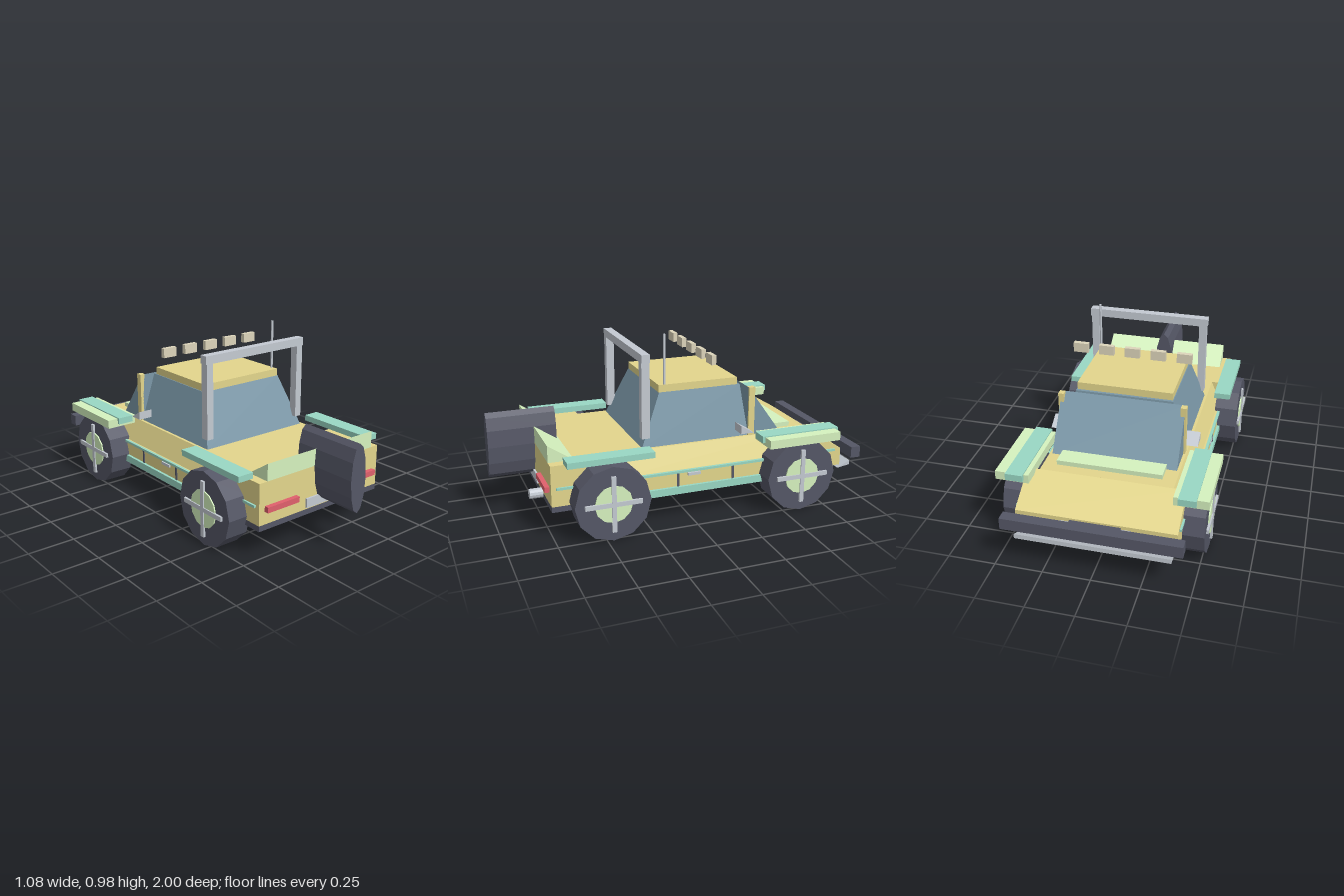
import * as THREE from 'three';

const COLORS = {
  sand: 0xe3d68c, glass: 0x7b98a8, teal: 0x99d8c4, lime: 0xd6f2bf,
  dark: 0x555766, steel: 0xc4cad2, red: 0xe0606c, lamp: 0xddd5bb,
};
const mats = {};
for (const key in COLORS) {
  mats[key] = new THREE.MeshStandardMaterial({ color: COLORS[key], flatShading: true });
}

export function createModel() {
  const model = new THREE.Group();
  model.name = 'offRoadCar';

  const add = (name, geometry, mat, parent = model) => {
    const mesh = new THREE.Mesh(geometry, mats[mat]);
    mesh.name = name;
    parent.add(mesh);
    return mesh;
  };
  // Box given by its limits on each axis
  const box = (name, mat, [x0, x1], [y0, y1], [z0, z1], parent) => {
    const g = new THREE.BoxGeometry(x1 - x0, y1 - y0, z1 - z0);
    g.translate((x0 + x1) / 2, (y0 + y1) / 2, (z0 + z1) / 2);
    return add(name, g, mat, parent);
  };
  // Box on both sides of the car
  const pair = (name, mat, [x0, x1], y, z) => {
    box(name + 'Left', mat, [x0, x1], y, z);
    box(name + 'Right', mat, [-x1, -x0], y, z);
  };
  const extrude = (points, depth) => new THREE.ExtrudeGeometry(
    new THREE.Shape(points.map(([a, b]) => new THREE.Vector2(a, b))),
    { depth, bevelEnabled: false });
  // Side profile [z, y] swept across the car from x0 to x1
  const prism = (name, mat, profile, [x0, x1]) => {
    const g = extrude(profile, x1 - x0);
    g.rotateY(-Math.PI / 2);
    g.translate(x1, 0, 0);
    return add(name, g, mat);
  };

  // Body: tail, middle with sloping shoulders, nose, floor
  box('tailBody', 'sand', [-0.41, 0.41], [0.18, 0.4], [0.42, 0.755]);
  const section = [[-0.41, 0.18], [0.41, 0.18], [0.41, 0.28], [0.395, 0.28],
    [0.345, 0.4], [-0.345, 0.4], [-0.395, 0.28], [-0.41, 0.28]];
  add('middleBody', extrude(section, 1.12).translate(0, 0, -0.7), 'sand');
  prism('bonnet', 'sand', [[-0.7, 0.18], [-0.7, 0.4], [-0.9, 0.28], [-0.9, 0.18]], [-0.41, 0.41]);
  box('floor', 'dark', [-0.41, 0.41], [0.15, 0.18], [-0.86, 0.755]);

  // Cabin: tapered glass block, windscreen wedge, roof and posts
  const cabin = new THREE.BoxGeometry(1, 1, 1);
  const p = cabin.attributes.position;
  for (let i = 0; i < p.count; i++) {
    const top = p.getY(i) > 0;
    const rear = p.getZ(i) > 0;
    p.setXYZ(i, Math.sign(p.getX(i)) * (top ? 0.26 : 0.33), top ? 0.67 : 0.4,
      rear ? (top ? 0.13 : 0.25) : (top ? -0.335 : -0.36));
  }
  cabin.computeVertexNormals();
  add('cabinGlass', cabin, 'glass');
  prism('windscreen', 'glass', [[-0.355, 0.4], [-0.355, 0.67], [-0.55, 0.4]], [-0.33, 0.33]);
  box('roof', 'sand', [-0.255, 0.255], [0.67, 0.71], [-0.32, 0.13]);
  pair('windscreenPost', 'sand', [0.31, 0.34], [0.4, 0.67], [-0.39, -0.355]);
  box('bonnetVent', 'lime', [-0.275, 0.275], [0.37, 0.425], [-0.64, -0.54]);
  prism('rearSpoiler', 'lime', [[0.755, 0.4], [0.755, 0.49], [0.62, 0.4]], [-0.36, 0.36]);

  // Fenders
  pair('rearFender', 'teal', [0.39, 0.48], [0.4, 0.432], [0.23, 0.685]);
  pair('frontFender', 'teal', [0.39, 0.48], [0.4, 0.436], [-0.83, -0.375]);
  pair('frontFenderFlare', 'lime', [0.365, 0.54], [0.383, 0.43], [-0.81, -0.39]);

  // Side details
  pair('beltTrim', 'teal', [0.405, 0.42], [0.27, 0.283], [-0.86, 0.73]);
  pair('sill', 'teal', [0.4, 0.425], [0.155, 0.195], [-0.42, 0.29]);
  pair('doorHandle', 'steel', [0.405, 0.422], [0.25, 0.265], [-0.045, 0.025]);
  for (const z of [0.08, -0.235]) {
    pair('doorSeam', 'dark', [0.405, 0.415], [0.195, 0.27], [z - 0.006, z + 0.006]);
  }
  const mirror = [[-0.285, 0.435], [-0.285, 0.48], [-0.36, 0.435]];
  prism('mirrorLeft', 'steel', mirror, [0.32, 0.4]);
  prism('mirrorRight', 'steel', mirror, [-0.4, -0.32]);

  // Wheels with hubs and crossed spokes
  for (const side of [1, -1]) {
    for (const z of [0.465, -0.595]) {
      const wheel = new THREE.Group();
      wheel.name = (z > 0 ? 'rear' : 'front') + 'Wheel' + (side > 0 ? 'Left' : 'Right');
      wheel.position.set(side * 0.455, 0.2, z);
      model.add(wheel);
      const disc = (name, r, width, mat) =>
        add(name, new THREE.CylinderGeometry(r, r, width, 12).rotateZ(Math.PI / 2), mat, wheel);
      disc('tire', 0.2, 0.13, 'dark');
      disc('hub', 0.1, 0.14, 'lime').position.x = side * 0.002;
      for (const [h, d] of [[0.3, 0.024], [0.024, 0.3]]) {
        add('spoke', new THREE.BoxGeometry(0.012, h, d), 'steel', wheel).position.x = side * 0.072;
      }
    }
  }

  // Spare wheel: flattened drum
  const spare = new THREE.CylinderGeometry(0.18, 0.18, 0.365, 12).rotateX(Math.PI / 2);
  spare.scale(0.05 / 0.18, 1, 1);
  spare.computeVertexNormals();
  add('spareWheel', spare, 'dark').position.set(0, 0.398, 0.8175);

  // Tail details
  pair('tailLight', 'red', [0.17, 0.375], [0.248, 0.277], [0.75, 0.78]);
  box('plate', 'steel', [-0.105, 0.105], [0.19, 0.24], [0.75, 0.765]);
  const pipe = new THREE.CylinderGeometry(0.027, 0.027, 0.11, 12).rotateX(Math.PI / 2);
  add('exhaust', pipe, 'steel').position.set(0.19, 0.173, 0.77);

  // Nose details
  box('bumper', 'dark', [-0.455, 0.455], [0.23, 0.293], [-1, -0.943]);
  box('grilleFrame', 'steel', [-0.18, 0.18], [0.19, 0.26], [-0.908, -0.895]);
  box('grille', 'dark', [-0.13, 0.13], [0.2, 0.27], [-0.922, -0.9]);
  prism('noseLip', 'steel', [[-0.9, 0.153], [-0.975, 0.19], [-0.975, 0.165]], [-0.395, 0.395]);
  box('skidPlate', 'steel', [-0.29, 0.29], [0.13, 0.15], [-0.925, -0.78]);

  // Roll bar, lamps and aerial
  pair('rollBarPost', 'steel', [0.29, 0.33], [0.45, 0.87], [0.205, 0.25]);
  box('rollBarTop', 'steel', [-0.335, 0.335], [0.856, 0.9], [0.205, 0.25]);
  for (let i = -2; i <= 2; i++) {
    const x = i * 0.14;
    box('roofLamp', 'lamp', [x - 0.04, x + 0.04], [0.808, 0.86], [-0.167, -0.142]);
  }
  add('aerial', new THREE.CylinderGeometry(0.007, 0.007, 0.31, 6), 'steel')
    .position.set(0.245, 0.823, 0.095);

  return model;
}
